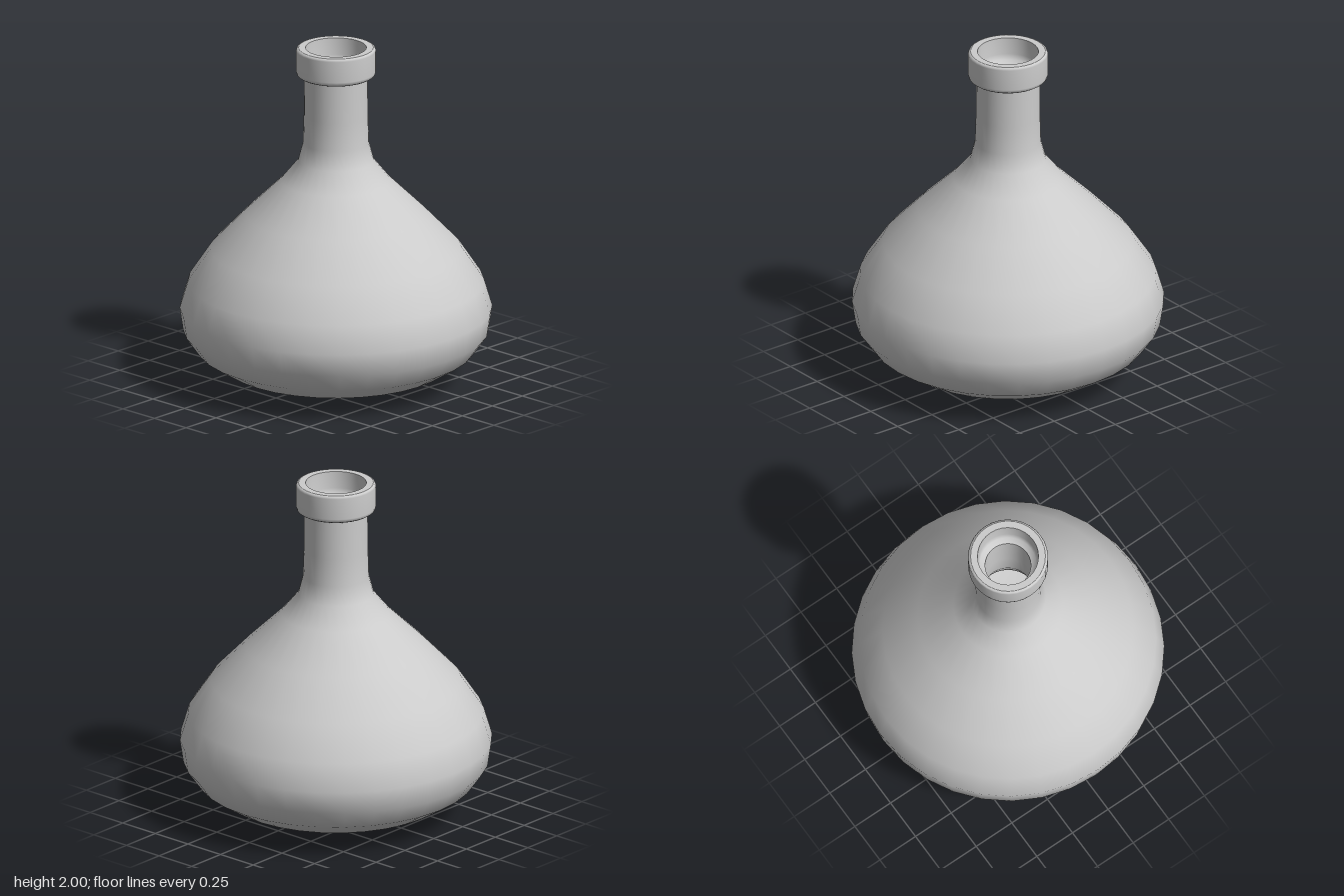
import * as THREE from 'three';

const SIDES = 32;

// Revolves a profile of [radius, height] pairs around the y axis
function turned(name, profile, material) {
  const points = profile.map(([r, y]) => new THREE.Vector2(r, y));
  const mesh = new THREE.Mesh(new THREE.LatheGeometry(points, SIDES), material);
  mesh.name = name;
  return mesh;
}

export function createModel() {
  const flask = new THREE.Group();
  flask.name = 'flask';
  const material = new THREE.MeshStandardMaterial({ color: 0xcccccc });

  // Outside of the bulb and neck, from the small base hole up to the rim
  flask.add(turned('outerBody', [
    [0.018, 0], [0.24, 0.008], [0.46, 0.036], [0.65, 0.093], [0.797, 0.185],
    [0.878, 0.3], [0.898, 0.435], [0.85, 0.595], [0.72, 0.79], [0.52, 1.0],
    [0.315, 1.2], [0.218, 1.32], [0.19, 1.43], [0.185, 1.6], [0.183, 1.83],
  ], material));

  // Thick collar around the mouth
  flask.add(turned('collar', [
    [0.183, 1.83], [0.212, 1.833], [0.225, 1.842], [0.23, 1.86],
    [0.23, 1.985], [0.225, 1.996], [0.215, 2],
  ], material));
  flask.add(turned('lip', [[0.215, 2], [0.175, 2]], material));

  // Mouth recess with its ledge, then the inside of the neck and bulb
  flask.add(turned('mouth', [[0.175, 2], [0.172, 1.9], [0.162, 1.868], [0.132, 1.85]], material));
  flask.add(turned('innerWall', [
    [0.132, 1.85], [0.132, 1.6], [0.14, 1.42], [0.175, 1.29], [0.28, 1.165],
    [0.485, 0.965], [0.68, 0.765], [0.805, 0.58], [0.848, 0.435], [0.83, 0.315],
    [0.76, 0.22], [0.625, 0.137], [0.45, 0.084], [0.235, 0.056], [0.018, 0.05],
  ], material));

  // Wall of the small hole through the base
  flask.add(turned('baseHole', [[0.018, 0.05], [0.018, 0]], material));

  return flask;
}
